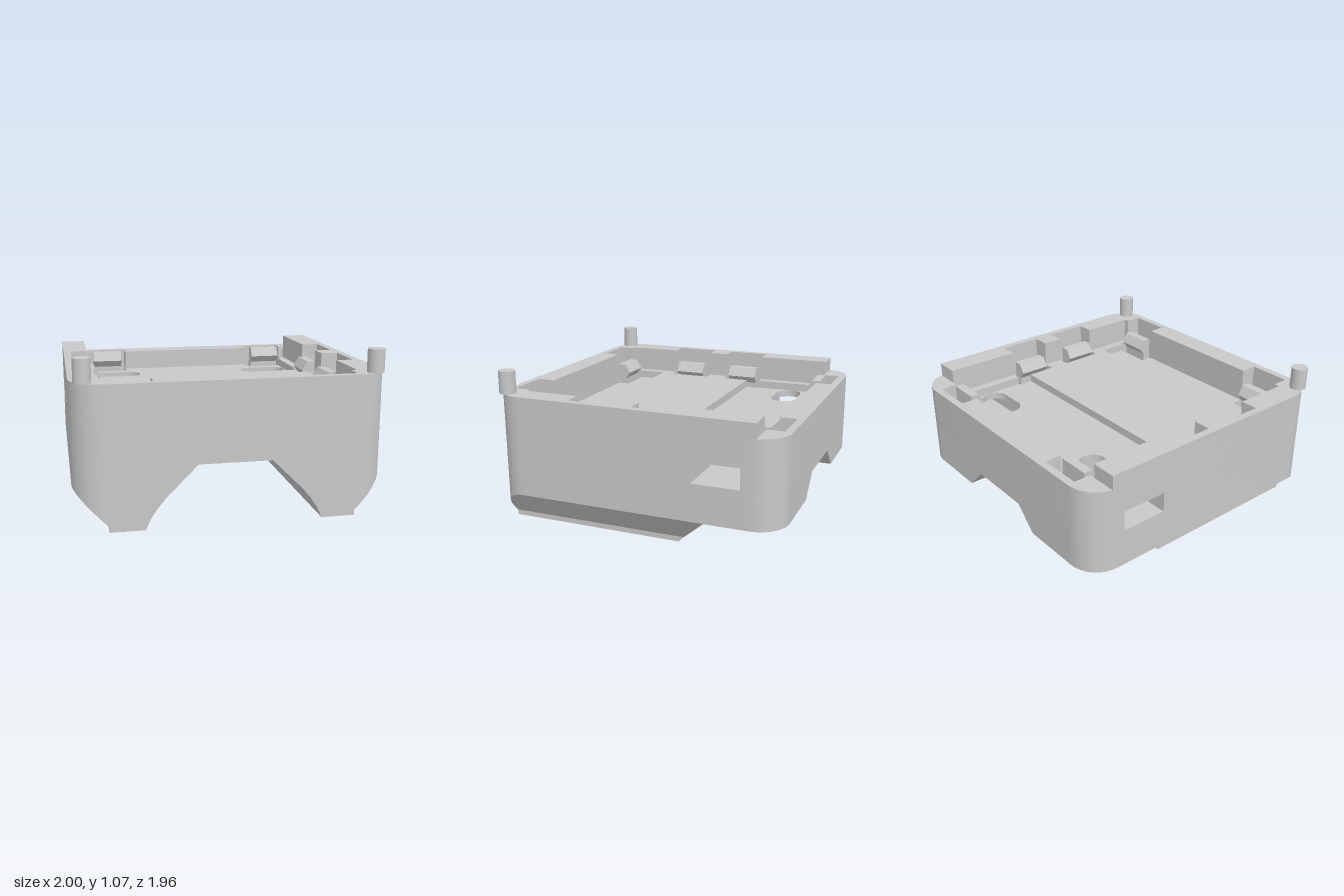
import * as THREE from 'three';
import { toCreasedNormals } from 'three/addons/utils/BufferGeometryUtils.js';

const R = 0.2, HALF_Z = 0.98;
const grey = new THREE.MeshStandardMaterial({ color: 0xc8c8c8 });
grey.name = 'grey plastic';

function add(parent, name, geometry) {
  const mesh = new THREE.Mesh(toCreasedNormals(geometry, 0.5), grey);
  mesh.name = name;
  parent.add(mesh);
  return mesh;
}

const V = (list) => list.map(([x, y]) => new THREE.Vector2(x, y));
// Orders a loop anticlockwise (or clockwise, for holes).
function wound(list, clockwise) {
  const pts = V(list);
  return THREE.ShapeUtils.isClockWise(pts) === clockwise ? pts : pts.reverse();
}
const flip = (pts) => pts.map(([x, y]) => [-x, y]);
// Closes a right-hand half outline with its mirror image.
const mirrored = (half) => [...half, ...flip(half).reverse()];
const rect = (x0, x1, z0, z1) => [[x0, z0], [x1, z0], [x1, z1], [x0, z1]];
const bothSides = (pts) => [pts, flip(pts)];

// Rounded corner on the right side, front (s = 1) or back (s = -1), from the end inwards.
function corner(s, n = 12) {
  return Array.from({ length: n + 1 }, (_, i) => {
    const a = (i / n) * Math.PI / 2;
    return [1 - R + R * Math.sin(a), s * (HALF_Z - R + R * Math.cos(a))];
  });
}

// Horizontal slab between two heights, with holes.
function slab(parent, name, y0, y1, outline, holes = []) {
  const shape = new THREE.Shape(wound(outline, false));
  shape.holes = holes.map((h) => new THREE.Path(wound(h, true)));
  const g = new THREE.ExtrudeGeometry(shape, { depth: y1 - y0, bevelEnabled: false });
  g.rotateX(Math.PI / 2);
  g.translate(0, y1, 0);
  add(parent, name, g);
}

// Underside arch, from the foot up to the flat crown.
const arch = [[0.565, 0], [0.53, 0.075], [0.485, 0.14], [0.44, 0.195], [0.235, 0.4]];
function archX(y) {
  for (let i = 1; i < arch.length; i++) {
    const [x0, y0] = arch[i - 1], [x1, y1] = arch[i];
    if (y <= y1) return x0 + (x1 - x0) * (y - y0) / (y1 - y0);
  }
  return 0.235;
}

// Cross-section of the lower body at depth z; d is the depth of the slot in the foot.
function section(z, d) {
  const e = Math.max(0, Math.abs(z) - (HALF_Z - R));
  const w = 1 - R + Math.sqrt(Math.max(0, R * R - e * e));
  const b = THREE.MathUtils.clamp(-0.245 - z, 0, 0.25);
  const foot = Math.min(w, Math.max(0.785, 0.75 + b));
  return mirrored([
    [w, 0.5], [w, Math.max(w - 0.75, b)], [foot, Math.max(0.035, b)], [foot, b],
    [0.71, b], [0.71, b + d], [0.63, b + d], [0.63, b],
    ...arch.map(([x, y]) => (y < b ? [archX(b), b] : [x, y])),
  ]);
}

function lowerBody(parent) {
  const zs = [...corner(1).map((p) => p[1]), 0.87, 0.05, -0.245, -0.28, -0.32, -0.385, -0.44, -0.495,
    ...corner(-1).map((p) => p[1])].sort((a, b) => b - a);
  const rings = [];
  for (const z of zs) {
    const ds = z === 0.87 ? [0, 0.2] : z === 0.05 ? [0.2, 0] : [z < 0.87 && z > 0.05 ? 0.2 : 0];
    for (const d of ds) rings.push(section(z, d).map(([x, y]) => [x, y, z]));
  }
  const n = rings[0].length, index = [];
  for (let i = 0; i + 1 < rings.length; i++) {
    for (let j = 0; j < n; j++) {
      const k = (j + 1) % n, a = i * n, c = a + n;
      index.push(a + j, a + k, c + k, a + j, c + k, c + j);
    }
  }
  const g = new THREE.BufferGeometry();
  g.setAttribute('position', new THREE.Float32BufferAttribute(rings.flat(2), 3));
  g.setIndex(index);
  add(parent, 'lowerBody', g);

  // End faces
  for (const s of [1, -1]) {
    const pts = section(s * HALF_Z, 0)
      .filter((p, i, all) => i === 0 || Math.hypot(p[0] - all[i - 1][0], p[1] - all[i - 1][1]) > 1e-5);
    const cap = new THREE.ShapeGeometry(new THREE.Shape(V(pts)));
    if (s < 0) cap.rotateY(Math.PI);
    cap.translate(0, 0, s * HALF_Z);
    add(parent, s > 0 ? 'lowerFrontFace' : 'lowerBackFace', cap);
  }
}

// Rounded-end slot in the tray floor
function floorSlot() {
  const pts = [];
  for (const [cx, start] of [[0.673, -Math.PI / 2], [0.5, Math.PI / 2]]) {
    for (let i = 0; i <= 10; i++) {
      const a = start + (i / 10) * Math.PI;
      pts.push([cx + 0.09 * Math.cos(a), -0.57 + 0.09 * Math.sin(a)]);
    }
  }
  return pts;
}

// Snap hook: local +x points outwards from the tray
function clip(parent, x, z, angle) {
  const profile = [[0.1, 0.56], [0.1, 0.83], [0.04, 0.83], [0, 0.765], [0.04, 0.715], [0.04, 0.56]];
  const g = new THREE.ExtrudeGeometry(new THREE.Shape(V(profile)), { depth: 0.22, bevelEnabled: false });
  g.translate(0, 0, -0.11);
  const mesh = add(parent, 'snapClip', g);
  mesh.position.set(x, 0, z);
  mesh.rotation.y = angle;
}

export function createModel() {
  const model = new THREE.Group();
  model.name = 'deviceTray';
  lowerBody(model);

  const front = corner(1), back = corner(-1).reverse();
  const outline = mirrored([...front, ...back]);
  // Outline cut in at the sides by the window channels
  const channelled = mirrored([...front, [1, -0.41], [0.41, -0.41], [0.41, -0.725], [1, -0.725], ...back]);

  const endRecesses = [...bothSides(rect(0.5, 0.79, 0.73, 0.93)), ...bothSides(rect(0.5, 0.79, -0.93, -0.73))];
  const frontSideRecesses = bothSides(rect(0.75, 0.95, 0.14, 0.44));
  const recesses = [...endRecesses, ...frontSideRecesses, ...bothSides(rect(0.75, 0.95, -0.3, 0))];

  // Sunken floor areas, joined with the clip recesses they touch
  const backPocket = mirrored([[0.75, -0.2], [0.75, 0], [0.95, 0], [0.95, -0.3], [0.765, -0.3], [0.765, -0.73],
    [0.79, -0.73], [0.79, -0.93], [0.5, -0.93], [0.5, -0.815]]);
  const frontPocket = mirrored([[0.5, 0.815], [0.5, 0.93], [0.79, 0.93], [0.79, 0.73], [0.765, 0.73], [0.765, 0.535]]);

  // Main cavity, from the front edge to the back corner
  const cavity = [[0.5, 0.815], [0.5, 0.93], [0.79, 0.93], [0.79, 0.815], [0.83, 0.815], [0.83, 0.44], [0.95, 0.44],
    [0.95, 0.14], [0.83, 0.14], [0.83, 0], [0.95, 0], [0.95, -0.3], [0.83, -0.3], [0.83, -0.815]];
  const cavityBack = [[0.79, -0.815], [0.79, -0.93], [0.5, -0.93], [0.5, -0.815]];
  // U-shaped rim: outside edge round the front, then back along the cavity
  const rim = [[1, -0.815], ...[...front].reverse(), ...flip(front), [-1, -0.815],
    ...flip(cavity).reverse(), ...cavity];

  slab(model, 'windowLayer', 0.5, 0.56, channelled);
  slab(model, 'recessLayer', 0.56, 0.637, channelled, recesses);
  slab(model, 'trayFloor', 0.637, 0.685, outline, [...recesses, ...bothSides(floorSlot())]);
  slab(model, 'raisedFloor', 0.685, 0.74, outline, [backPocket, frontPocket, ...frontSideRecesses]);
  slab(model, 'trayWall', 0.74, 0.825, outline, [mirrored([...cavity, ...cavityBack])]);
  slab(model, 'upperRim', 0.825, 0.92, rim);

  for (const s of [1, -1]) {
    const out = s > 0 ? 0 : Math.PI;
    clip(model, s * 0.75, -0.155, out);
    clip(model, s * 0.75, 0.29, out);
    clip(model, s * 0.65, 0.735, -Math.PI / 2);
    clip(model, s * 0.65, -0.735, Math.PI / 2);
    // Alignment pegs
    const peg = add(model, 'peg', new THREE.CylinderGeometry(0.055, 0.055, 0.15, 28));
    peg.position.set(s * 0.918, 0.995, 0.905);
  }
  return model;
}
